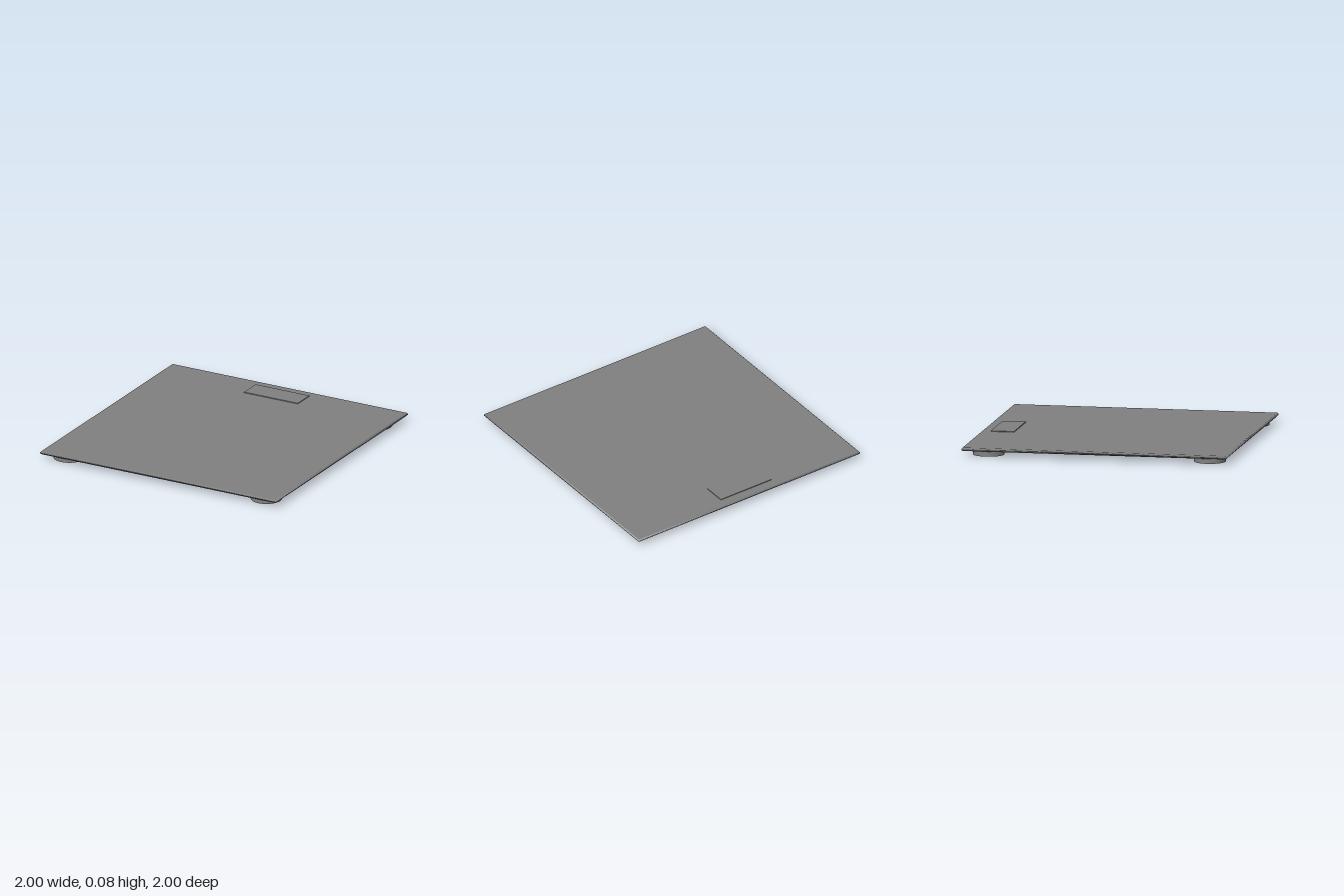
import * as THREE from 'three';

const material = new THREE.MeshStandardMaterial({ color: 0x808080 });

function addPart(group, name, geometry, x, y, z) {
  const mesh = new THREE.Mesh(geometry, material);
  mesh.name = name;
  mesh.position.set(x, y, z);
  group.add(mesh);
}

// Square plate with a bevelled rim: a four-sided lathe of the edge profile,
// smooth-shaded so the top shades softly towards the corners
function plateGeometry(half, thickness, bevel) {
  const h = thickness / 2;
  const profile = [
    [0, -h],
    [half - bevel, -h],
    [half, bevel - h],
    [half, h - bevel],
    [half - bevel, h],
    [0, h],
  ].map(([x, y]) => new THREE.Vector2(x * Math.SQRT2, y));
  return new THREE.LatheGeometry(profile, 4, Math.PI / 4);
}

export function createModel() {
  const group = new THREE.Group();
  group.name = 'bathroomScale';

  // Standing plate
  addPart(group, 'plate', plateGeometry(1, 0.026, 0.009), 0, 0.056, 0);

  // Raised display near the back edge
  addPart(group, 'display', new THREE.BoxGeometry(0.455, 0.016, 0.175), -0.022, 0.067, -0.838);

  // Four round feet
  const footGeometry = new THREE.CylinderGeometry(0.117, 0.117, 0.05, 48);
  for (const [side, x] of [['Left', 0.834], ['Right', -0.84]]) {
    for (const [end, z] of [['front', 0.845], ['back', -0.823]]) {
      addPart(group, `${end}${side}Foot`, footGeometry, x, 0.025, z);
    }
  }
  return group;
}
